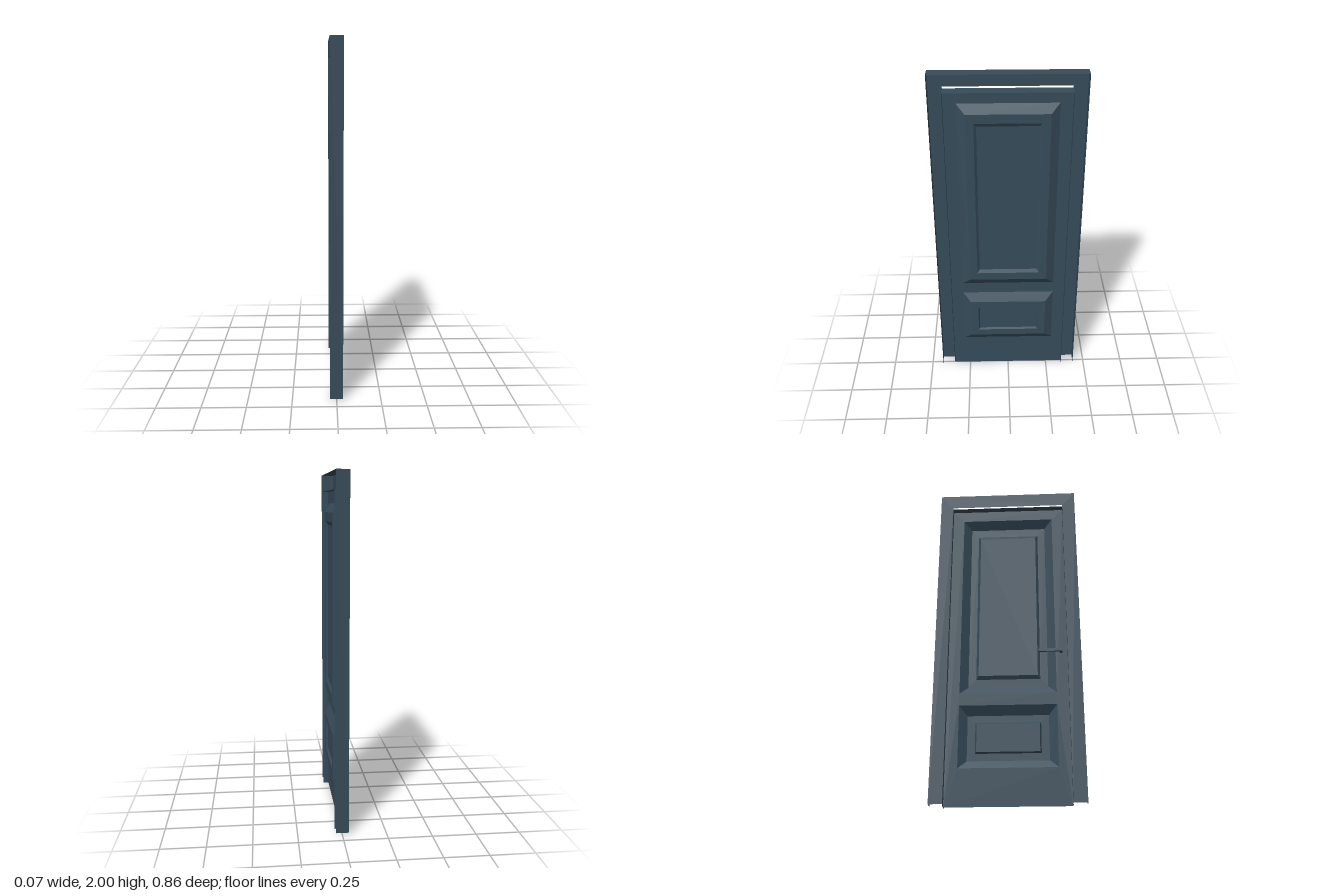
import * as THREE from 'three';

export function createModel() {
  const door = new THREE.Group();
  door.name = 'door';
  const paint = new THREE.MeshStandardMaterial({ color: 0x364b59, side: THREE.DoubleSide });
  paint.name = 'slateBluePaint';

  const add = (name, geometry, parent = door) => {
    const mesh = new THREE.Mesh(geometry, paint);
    mesh.name = name;
    parent.add(mesh);
    return mesh;
  };

  // Rectangle standing in the z-y plane: half width, bottom, top, x position
  const rect = (w, y0, y1, x) => [[x, y0, w], [x, y0, -w], [x, y1, -w], [x, y1, w]];

  // Faceted sheet made of four-cornered faces
  const quads = (faces) => {
    const p = [];
    for (const [a, b, c, d] of faces) p.push(...a, ...b, ...c, ...a, ...c, ...d);
    const g = new THREE.BufferGeometry();
    g.setAttribute('position', new THREE.Float32BufferAttribute(p, 3));
    g.computeVertexNormals();
    return g;
  };

  // Mitred band joining two rectangles
  const band = (a, b) => quads([0, 1, 2, 3].map((i) => {
    const j = (i + 1) % 4;
    return [a[i], a[j], b[j], b[i]];
  }));

  // Arch-shaped strip (two sides and a top) between two x positions
  const arch = (w, y0, y1, xa, xb) => {
    const a = rect(w, y0, y1, xa), b = rect(w, y0, y1, xb);
    return quads([[1, 2], [2, 3], [3, 0]].map(([i, j]) => [a[i], a[j], b[j], b[i]]));
  };

  const BACK = -0.037, FRONT = 0.036, LEAF = 0.003, RAISED = 0.034, FIELD = 0.022;

  // Casing: mitred face plus outer return, open towards the wall
  const casing = new THREE.Group();
  casing.name = 'casing';
  door.add(casing);
  const outer = rect(0.428, 0.01, 2, BACK), inner = rect(0.35, 0.01, 1.91, BACK);
  add('casingFace', quads([[1, 2], [2, 3], [3, 0]].map(
    ([i, j]) => [outer[i], outer[j], inner[j], inner[i]])), casing);
  add('casingReturn', arch(0.428, 0.01, 2, BACK, FRONT), casing);

  // Thin lining around the leaf
  add('jambLining', arch(0.35, 0, 1.9, BACK, FRONT));

  // Leaf: flat stiles and rails with two pressed panels
  const leaf = new THREE.Group();
  leaf.name = 'leaf';
  door.add(leaf);
  const path = (Type, w, y0, y1) => new Type(
    [[-w, y0], [w, y0], [w, y1], [-w, y1]].map(([x, y]) => new THREE.Vector2(x, y)));
  const sheet = path(THREE.Shape, 0.35, 0, 1.9);

  const panels = [
    { name: 'upperPanel', steps: [[0.28, 0.65, 1.83], [0.232, 0.697, 1.778], [0.187, 0.745, 1.726], [0.173, 0.765, 1.705]] },
    { name: 'lowerPanel', steps: [[0.28, 0.213, 0.577], [0.232, 0.26, 0.523], [0.187, 0.302, 0.481], [0.179, 0.309, 0.472]] },
  ];
  const depths = [LEAF, RAISED, RAISED, FIELD];
  const parts = ['Bevel', 'Border', 'Step'];
  for (const { name, steps } of panels) {
    sheet.holes.push(path(THREE.Path, ...steps[0]));
    const rings = steps.map((s, i) => rect(...s, depths[i]));
    parts.forEach((part, i) => add(name + part, band(rings[i], rings[i + 1]), leaf));
    add(name + 'Field', quads([rings[3]]), leaf);
  }
  add('stilesAndRails', new THREE.ShapeGeometry(sheet).rotateY(-Math.PI / 2).translate(LEAF, 0, 0), leaf);

  // Lever handle on the back side
  const handle = new THREE.Group();
  handle.name = 'handle';
  door.add(handle);
  add('spindle', new THREE.CylinderGeometry(0.008, 0.008, 0.03, 10).rotateZ(Math.PI / 2), handle)
    .position.set(-0.012, 0.9, 0.312);
  add('lever', new THREE.BoxGeometry(0.012, 0.017, 0.14), handle).position.set(-0.028, 0.9, 0.25);

  return door;
}
